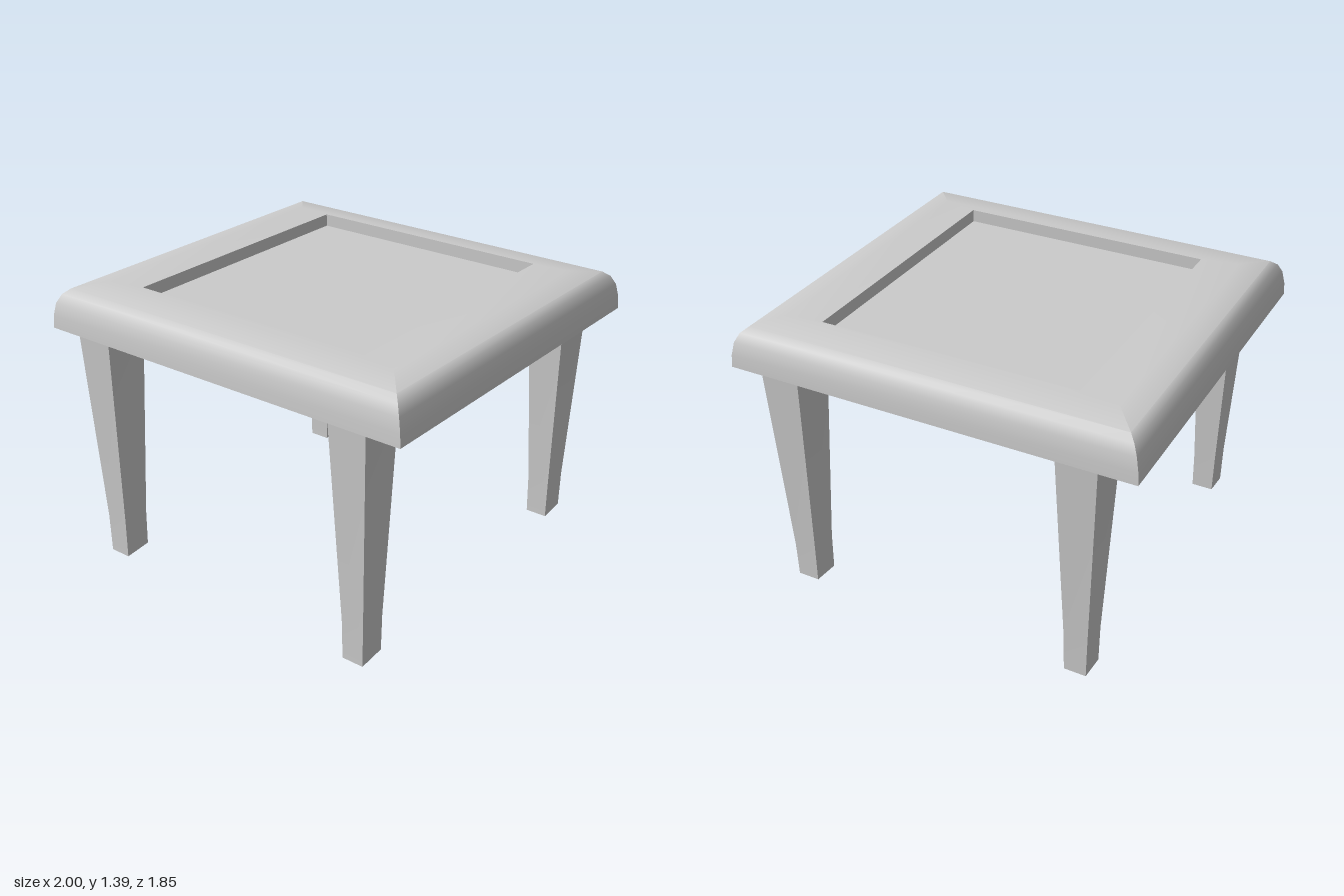
import * as THREE from 'three';
import { toCreasedNormals } from 'three/addons/utils/BufferGeometryUtils.js';

// Joins rectangular rings [x0, x1, z0, z1, yFront, yBack] from bottom to top.
function loft(rings, capped) {
  const pos = [], index = [];
  for (const [x0, x1, z0, z1, yf, yb = yf] of rings) {
    pos.push(x1, yf, z1, x1, yb, z0, x0, yb, z0, x0, yf, z1);
  }
  const n = rings.length;
  for (let i = 0; i < n - 1; i++) {
    for (let k = 0; k < 4; k++) {
      const a = i * 4 + k, b = i * 4 + (k + 1) % 4;
      index.push(a, b, b + 4, a, b + 4, a + 4);
    }
  }
  if (capped) {
    const t = (n - 1) * 4;
    index.push(0, 2, 1, 0, 3, 2, t, t + 1, t + 2, t, t + 2, t + 3);
  }
  const geo = new THREE.BufferGeometry();
  geo.setAttribute('position', new THREE.Float32BufferAttribute(pos, 3));
  geo.setIndex(index);
  return toCreasedNormals(geo, 0.6);
}

// Tapered hollow leg, open at the foot; its top follows the sloping underside
function legGeometry(topBack) {
  return loft([
    [-0.055, 0.055, -0.069, 0.069, 0, 0.013],
    [-0.058, 0.058, -0.071, 0.071, 0.2],
    [-0.096, 0.096, -0.117, 0.117, 1.176, topBack],
  ], false);
}

export function createModel() {
  const group = new THREE.Group();
  const solid = new THREE.MeshStandardMaterial({ color: 0xcccccc });
  const open = new THREE.MeshStandardMaterial({ color: 0xcccccc, side: THREE.DoubleSide });

  // Table top: underside panel rising towards the front, rounded rim, sunken panel
  const rim = [
    [1.0, 0.925, 1.175], [0.996, 0.922, 1.235], [0.982, 0.912, 1.3],
    [0.96, 0.89, 1.343], [0.93, 0.857, 1.368], [0.82, 0.72, 1.387],
  ].map(([x, z, y]) => [-x, x, -z, z, y]);
  const top = new THREE.Mesh(loft([
    [-0.635, 0.64, -0.7, 0.68, 1.315, 1.16],
    ...rim,
    [-0.635, 0.64, -0.7, 0.68, 1.388],
    [-0.635, 0.64, -0.7, 0.68, 1.325],
  ], true), solid);
  top.name = 'tableTop';
  group.add(top);

  // Legs, flush with the front and back edges
  for (const [zName, z, topBack] of [['front', 0.806, 1.3], ['back', -0.808, 1.176]]) {
    const geo = legGeometry(topBack);
    for (const [xName, x] of [['Left', 0.735], ['Right', -0.728]]) {
      const leg = new THREE.Mesh(geo, open);
      leg.name = `${zName}${xName}Leg`;
      leg.position.set(x, 0, z);
      group.add(leg);
    }
  }
  return group;
}
